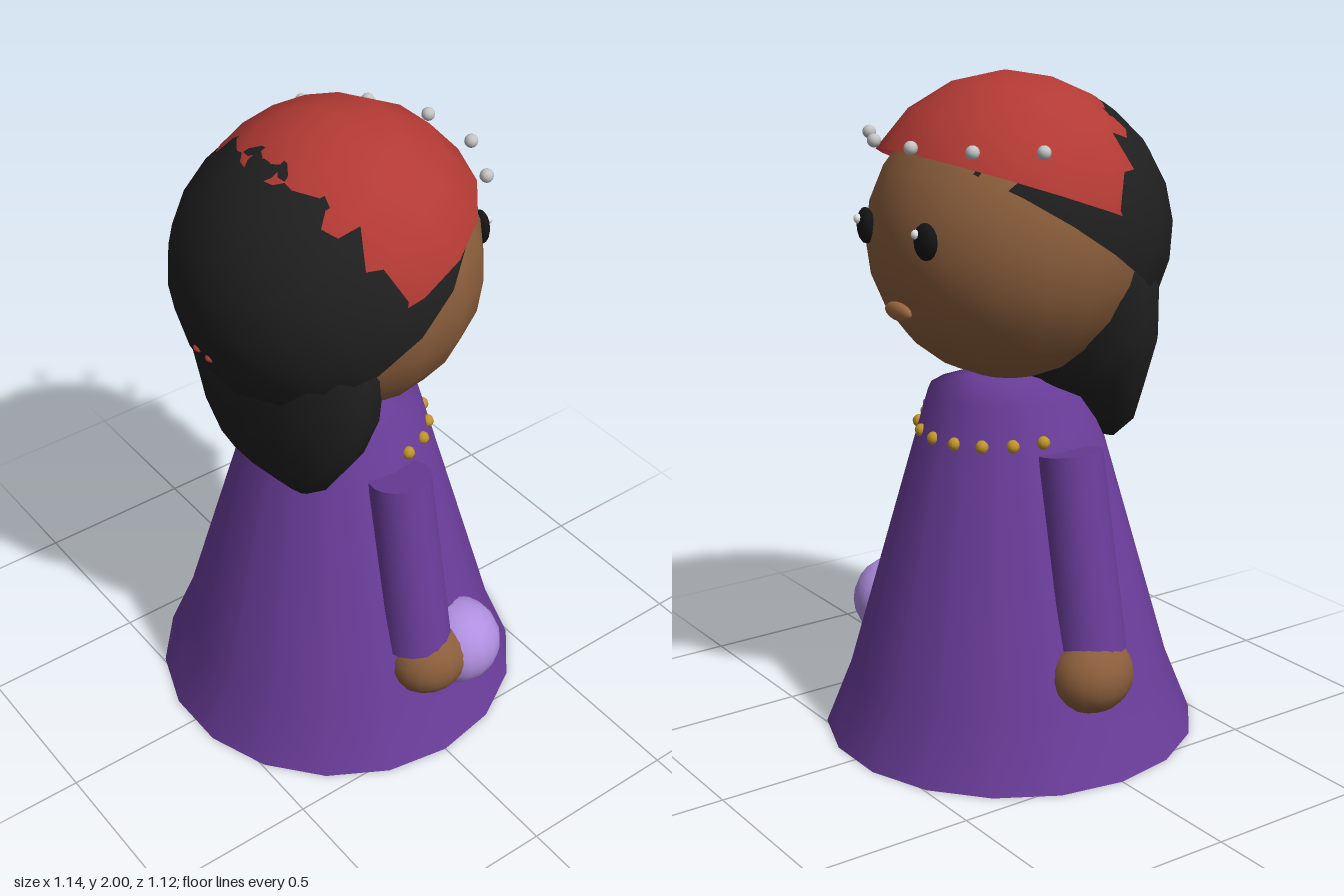
import * as THREE from 'three';

const mat = (name, color, side = THREE.FrontSide) => {
  const m = new THREE.MeshStandardMaterial({ color, side });
  m.name = name;
  return m;
};

export function createModel() {
  const purple = mat('purple cloth', 0x6a3d9a);
  const red = mat('red scarf', 0xb33a34, THREE.DoubleSide);
  const black = mat('black hair', 0x1f1f1f, THREE.DoubleSide);
  const skin = mat('brown skin', 0x8b5e3c);
  const lip = mat('lip brown', 0x9a6840);
  const lilac = mat('lilac ball', 0xb08fe0);
  const silver = mat('silver pearl', 0xc4c4c4);
  const gold = mat('gold bead', 0xc0952c);
  const dark = mat('eye black', 0x141414);
  const white = mat('eye glint', 0xffffff);

  const group = new THREE.Group();
  const add = (name, geometry, material, x = 0, y = 0, z = 0) => {
    const mesh = new THREE.Mesh(geometry, material);
    mesh.name = name;
    mesh.position.set(x, y, z);
    group.add(mesh);
    return mesh;
  };
  const ball = (name, material, r, x, y, z, w = 12, h = 8) =>
    add(name, new THREE.SphereGeometry(r, w, h), material, x, y, z);

  // Robe: flared hem, straight cone, rounded shoulders, closed underneath
  const robeProfile = [[0.57, 0], [0.49, 0.2], [0.243, 1.066], [0.12, 1.108], [0, 1.115]]
    .map(([r, y]) => new THREE.Vector2(r, y));
  add('robe', new THREE.LatheGeometry(robeProfile, 18, Math.PI / 2), purple);
  const base = add('robeBase', new THREE.CircleGeometry(0.57, 18), purple);
  base.rotation.x = Math.PI / 2;

  // Sleeves and hands
  for (const s of [-1, 1]) {
    const top = new THREE.Vector3(s * 0.307, 0.936, 0);
    const cuff = new THREE.Vector3(s * 0.409, 0.36, 0);
    const axis = top.clone().sub(cuff);
    const mid = top.clone().add(cuff).multiplyScalar(0.5);
    const sleeve = add('sleeve', new THREE.CylinderGeometry(0.095, 0.108, axis.length(), 16),
      purple, mid.x, mid.y, mid.z);
    sleeve.quaternion.setFromUnitVectors(new THREE.Vector3(0, 1, 0), axis.normalize());
    ball('hand', skin, 0.115, s * 0.443, 0.3, -0.02, 16, 10).scale.z = 1.13;
  }
  ball('heldBall', lilac, 0.135, 0.43, 0.284, -0.148, 18, 12);

  // Head
  ball('head', skin, 0.42, 0, 1.525, 0, 18, 12);

  // Hair cap: half sphere tipped backwards
  const hair = add('hairCap', new THREE.SphereGeometry(0.443, 18, 6, 0, Math.PI * 2, 0, Math.PI / 2),
    black, 0, 1.53, 0.045);
  hair.rotation.x = THREE.MathUtils.degToRad(35);

  // Long hair at the back: elliptical rings [y, half width, half depth, z]
  const rings = [
    [0.915, 0, 0, 0.25], [0.916, 0.19, 0.035, 0.25], [0.98, 0.27, 0.1, 0.24],
    [1.1, 0.335, 0.18, 0.2], [1.24, 0.39, 0.2, 0.195], [1.4, 0.39, 0.2, 0.195],
    [1.5, 0.36, 0.15, 0.2], [1.55, 0, 0, 0.2],
  ];
  const n = 18, pos = [], idx = [];
  rings.forEach(([y, rx, rz, zc], i) => {
    for (let k = 0; k < n; k++) {
      const a = (k / n) * Math.PI * 2;
      pos.push(rx * Math.cos(a), y, zc + rz * Math.sin(a));
      if (i === rings.length - 1) continue;
      const p = i * n + k, q = i * n + (k + 1) % n;
      idx.push(p, p + n, q, q, p + n, q + n);
    }
  });
  const lockGeo = new THREE.BufferGeometry();
  lockGeo.setAttribute('position', new THREE.Float32BufferAttribute(pos, 3));
  lockGeo.setIndex(idx);
  lockGeo.computeVertexNormals();
  add('longHair', lockGeo, black);

  // Head scarf, with its knot just showing through the hair
  const scarf = add('scarf', new THREE.SphereGeometry(0.445, 18, 4, 0, Math.PI * 2, 0, THREE.MathUtils.degToRad(77)),
    red, 0, 1.555, 0);
  scarf.rotation.x = THREE.MathUtils.degToRad(20);
  for (const s of [-1, 1]) ball('scarfKnot', red, 0.02, s * 0.03, 1.4, 0.45).scale.y = 0.6;

  // Pearls around the brow
  for (let i = 0; i < 5; i++) {
    const a = THREE.MathUtils.degToRad(-68 + 27.2 * i);
    ball('pearl', silver, 0.02, 0.408 * Math.sin(a), 1.82, -0.408 * Math.cos(a));
  }

  // Bead necklace across the chest
  for (let i = -4; i <= 4; i++) {
    const a = THREE.MathUtils.degToRad(19 * i);
    ball('necklaceBead', gold, 0.02, 0.272 * Math.sin(a), 0.97 - 0.02 * Math.cos(a), -0.272 * Math.cos(a), 8, 6);
  }

  // Eyes, glints and mouth
  for (const s of [-1, 1]) {
    const eye = ball('eye', dark, 1, s * 0.158, 1.57, -0.392);
    eye.scale.set(0.041, 0.053, 0.024);
    eye.rotation.y = -s * 0.2;
    ball('eyeGlint', white, 0.014, s * 0.153 + 0.012, 1.59, -0.413, 8, 6);
  }
  ball('mouth', lip, 1, 0, 1.345, -0.385).scale.set(0.065, 0.027, 0.02);

  return group;
}
